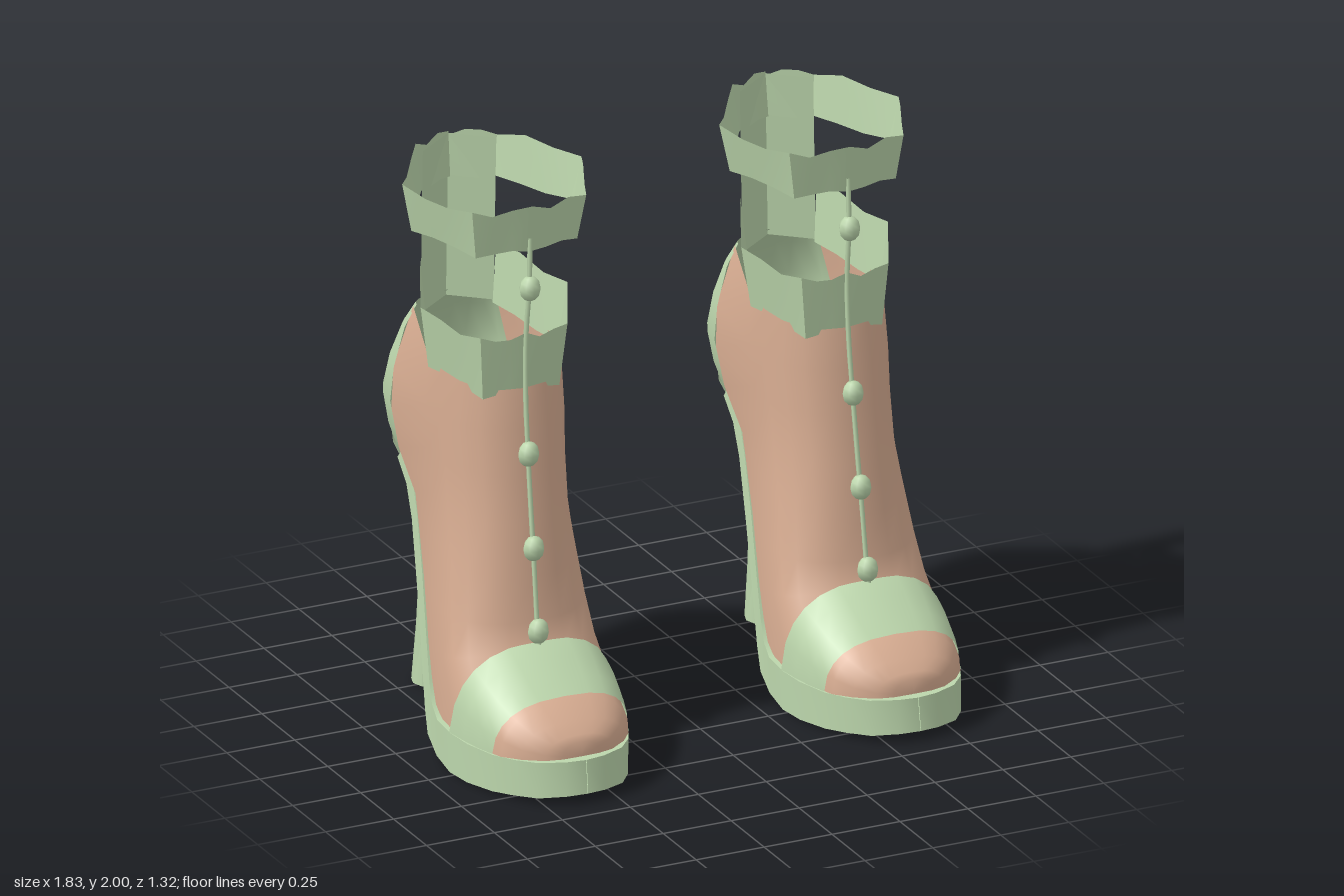
import * as THREE from 'three';
import { toCreasedNormals } from 'three/addons/utils/BufferGeometryUtils.js';

const green = new THREE.MeshStandardMaterial({ name: 'sageLeather', color: 0xbcd6ac, side: THREE.DoubleSide });
const skin = new THREE.MeshStandardMaterial({ name: 'skin', color: 0xd8ad92, side: THREE.DoubleSide });

// Skins a row of cross-sections that all have the same number of points
function loft(sections, closed = false, crease = 0.65) {
  const n = sections[0].length, index = [];
  for (let i = 0; i < sections.length - 1; i++) {
    for (let j = 0; j < (closed ? n : n - 1); j++) {
      const a = i * n + j, b = i * n + (j + 1) % n, c = b + n, d = a + n;
      index.push(a, d, b, b, d, c);
    }
  }
  const g = new THREE.BufferGeometry();
  g.setAttribute('position', new THREE.Float32BufferAttribute(sections.flat(2), 3));
  g.setIndex(index);
  return toCreasedNormals(g, crease);
}

// Tilted U section: rounded at the front, open at the back
function uSection([zf, yf, zb, yb, w, wb]) {
  const zc = zf + (zb - zf) * 0.5, pts = [[-wb, yb, zb]];
  for (let i = 0; i <= 10; i++) {
    const a = Math.PI * (1 - i / 10), c = Math.cos(a);
    const z = zc + (zf - zc) * Math.sin(a) ** 0.9;
    pts.push([w * Math.sign(c) * Math.abs(c) ** 0.85, yf + (yb - yf) * (zf - z) / (zf - zb), z]);
  }
  pts.push([wb, yb, zb]);
  return pts;
}

// Arch section over the toes; base and crown may lie at different z
function arch([zBase, zTop, yTop, w, y0 = 0.135]) {
  return Array.from({ length: 13 }, (_, i) => {
    const a = Math.PI * (1 - i / 12), c = Math.cos(a), s = Math.max(0, Math.sin(a)) ** 0.75;
    return [w * Math.sign(c) * Math.abs(c) ** 0.75, y0 + (yTop - y0) * s, zBase + (zTop - zBase) * s];
  });
}

// Mirrors a half outline (front to back) and divides its sides
function outline(half, steps = 3) {
  const full = [...half.slice(1).reverse().map(([x, z]) => [-x, z]), ...half];
  const pts = [];
  full.forEach(([x, z], i) => {
    if (i === full.length - 1) return pts.push([x, z]);
    const [x2, z2] = full[i + 1];
    for (let k = 0; k < steps; k++) pts.push([x + (x2 - x) * k / steps, z + (z2 - z) * k / steps]);
  });
  return pts;
}

// Ragged band around the ankle; heights slope from front to back
function band(half, topFront, topBack, lowFront, lowBack, shrink, jag) {
  const pts = outline(half);
  const slope = (f, b, z) => f + (b - f) * (0.16 - z) / 0.6;
  return loft([
    pts.map(([x, z], i) => [x, slope(topFront, topBack, z) + jag * Math.sin(i * 2.3), z]),
    pts.map(([x, z], i) => [x * shrink, slope(lowFront, lowBack, z) + jag * 0.4 * Math.sin(i * 1.9), -0.13 + (z + 0.13) * (0.5 + shrink / 2)]),
  ], false, 0.4);
}

function makeShoe(side) {
  const shoe = new THREE.Group();
  shoe.name = side > 0 ? 'leftShoe' : 'rightShoe';
  const add = (name, geometry, material) => {
    // The ankle leans slightly inward above the sole
    const p = geometry.attributes.position;
    for (let i = 0; i < p.count; i++) p.setX(i, p.getX(i) + side * (0.613 - 0.015 * p.getY(i)));
    const mesh = new THREE.Mesh(geometry, material);
    mesh.name = name;
    shoe.add(mesh);
  };

  // Foot: [front z, front y, back z, back y, half width, back half width]
  add('foot', loft([
    [0.135, 1.29, -0.40, 1.41, 0.225, 0.15],
    [0.16, 1.15, -0.42, 1.2, 0.23, 0.21],
    [0.18, 1.0, -0.41, 1.05, 0.225, 0.22],
    [0.205, 0.83, -0.38, 0.92, 0.225, 0.205],
    [0.235, 0.65, -0.28, 0.79, 0.235, 0.19],
    [0.255, 0.5, -0.17, 0.53, 0.255, 0.21],
    [0.28, 0.41, -0.075, 0.32, 0.27, 0.235],
    [0.39, 0.29, 0.0, 0.2, 0.28, 0.25],
    [0.43, 0.13, 0.05, 0.13, 0.28, 0.26],
  ].map(uSection)), skin);

  // Toes
  add('toes', loft([
    [0.42, 0.44, 0.325, 0.25], [0.48, 0.49, 0.3, 0.235], [0.54, 0.55, 0.255, 0.19],
    [0.59, 0.59, 0.22, 0.125], [0.605, 0.605, 0.2, 0.07], [0.607, 0.607, 0.15, 0.001],
  ].map(arch)), skin);

  // Toe strap
  add('toeStrap', loft([
    [0.21, 0.27, 0.435, 0.295], [0.29, 0.34, 0.4, 0.285], [0.37, 0.41, 0.355, 0.27], [0.44, 0.475, 0.315, 0.248],
  ].map(arch)), green);

  // Platform sole and shank: [top z, top y, bottom z, bottom y, half width]
  add('sole', loft([
    [0.645, 0.15, 0.66, 0.035, 0.001], [0.635, 0.15, 0.65, 0.033, 0.07], [0.595, 0.148, 0.605, 0.025, 0.155],
    [0.53, 0.145, 0.53, 0.018, 0.21], [0.45, 0.14, 0.45, 0.01, 0.25], [0.33, 0.14, 0.33, 0.003, 0.285],
    [0.22, 0.14, 0.22, 0, 0.295], [0.1, 0.14, 0.1, 0.012, 0.285], [0.03, 0.165, 0.0, 0.05, 0.27],
    [-0.02, 0.23, -0.05, 0.12, 0.257], [-0.08, 0.35, -0.115, 0.28, 0.24], [-0.17, 0.55, -0.21, 0.5, 0.215],
    [-0.25, 0.73, -0.29, 0.7, 0.198], [-0.3, 0.82, -0.35, 0.8, 0.19], [-0.38, 0.93, -0.44, 0.86, 0.18],
  ].map(([zt, yt, zb, yb, w]) => [[w, yt, zt], [-w, yt, zt], [-w, yb, zb], [w, yb, zb]]), true, 0.6), green);

  // Heel counter: [y, edge z, back z, half width]
  add('heelCounter', loft([
    [1.42, -0.385, -0.455, 0.145], [1.34, -0.40, -0.52, 0.18], [1.2, -0.41, -0.605, 0.213],
    [1.08, -0.41, -0.655, 0.225], [0.98, -0.39, -0.638, 0.213], [0.9, -0.36, -0.615, 0.192], [0.83, -0.32, -0.602, 0.15],
  ].map(([y, ze, zb, w]) => Array.from({ length: 11 }, (_, i) => {
    const a = Math.PI * i / 10;
    return [w * Math.cos(a), y, ze + (zb - ze) * Math.sin(a)];
  }))), green);

  // Heel stem: [y, front z, back z, half width]
  add('heelStem', loft([
    [0.9, -0.34, -0.61, 0.18], [0.82, -0.35, -0.6, 0.14], [0.77, -0.42, -0.595, 0.11], [0.7, -0.47, -0.588, 0.082],
    [0.58, -0.488, -0.572, 0.06], [0.45, -0.49, -0.557, 0.052], [0.2, -0.468, -0.572, 0.06],
    [0.0, -0.447, -0.59, 0.072], [0.0, -0.518, -0.519, 0.001],
  ].map(([y, zf, zb, w]) => Array.from({ length: 10 }, (_, i) => {
    const a = Math.PI * 2 * i / 10;
    return [-w * Math.cos(a), y, (zf + zb) / 2 + (zf - zb) / 2 * Math.sin(a)];
  })), true), green);

  // Small brace beneath the shank
  add('shankBrace', loft([[-0.26, 0.72], [-0.275, 0.37], [-0.13, 0.33]]
    .map(([z, y]) => [[0.1, y, z], [-0.1, y, z]])), green);

  // Ankle cuff, back strap and upper collar
  add('ankleCuff', band([[0, 0.145], [0.16, 0.13], [0.27, -0.1], [0.14, -0.375]], 1.475, 1.605, 1.265, 1.4, 0.88, 0.014), green);
  add('backStrap', loft([1.97, 1.8, 1.6, 1.39].map((y) => [[0.135, y, -0.375], [0, y + 0.01, -0.46], [-0.135, y, -0.375]])), green);
  add('upperCollar', band([[0, 0.18], [0.21, 0.155], [0.33, -0.13], [0.15, -0.4], [0, -0.46]], 1.95, 1.985, 1.795, 1.83, 0.89, 0.014), green);

  // Front cord with buttons
  const cord = new THREE.CatmullRomCurve3([
    [1.84, 0.165], [1.66, 0.165], [1.47, 0.145], [1.27, 0.15], [1.07, 0.173], [0.75, 0.222], [0.47, 0.265], [0.42, 0.28],
  ].map(([y, z]) => new THREE.Vector3(0, y, z)));
  add('frontCord', new THREE.TubeGeometry(cord, 24, 0.009, 5), green);
  [[1.66, 0.17], [1.07, 0.178], [0.75, 0.227], [0.47, 0.27]].forEach(([y, z]) =>
    add('button', new THREE.SphereGeometry(1, 8, 6).scale(0.038, 0.044, 0.034).translate(0, y, z), green));

  return shoe;
}

export function createModel() {
  const model = new THREE.Group();
  model.name = 'highHeelPair';
  model.add(makeShoe(1), makeShoe(-1));
  return model;
}
